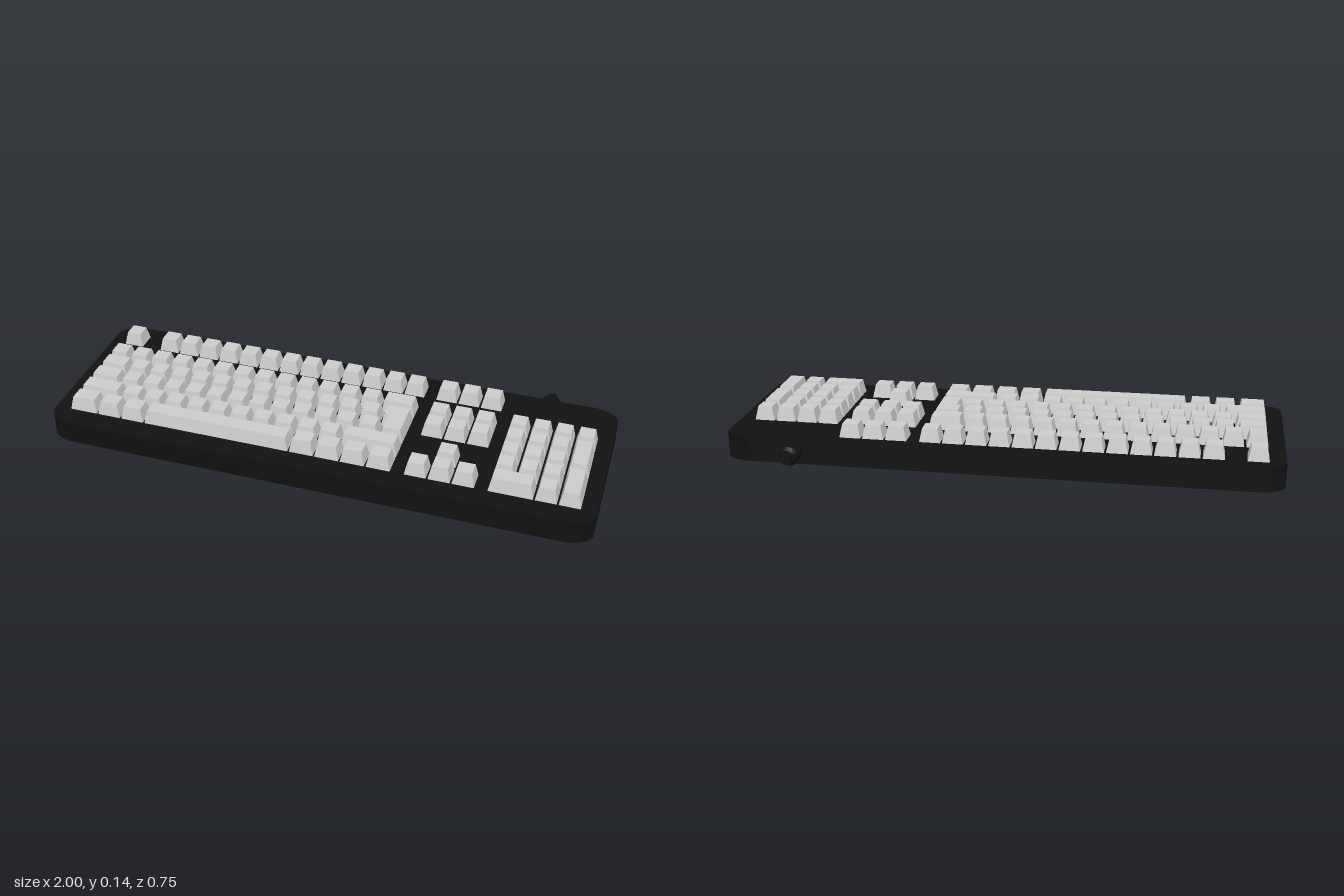
import * as THREE from 'three';
import { toCreasedNormals } from 'three/addons/utils/BufferGeometryUtils.js';

const DECK = 0.09, KEY_TOP = 0.14;
const U = 0.082;            // one key unit across
const ROW = 0.0816;         // row pitch
const LEFT = -0.944, BACK = -0.108;
const GAP = 0.006;

export function createModel() {
  const model = new THREE.Group();
  model.name = 'keyboard';
  const black = new THREE.MeshStandardMaterial({ color: 0x111111 });
  const grey = new THREE.MeshStandardMaterial({ color: 0xcccccc });

  const group = (name) => {
    const g = new THREE.Group();
    g.name = name;
    model.add(g);
    return g;
  };

  // Tapered key cap filling the cell x0..x1, z0..z1
  function addKey(parent, name, x0, x1, z0, z1) {
    const w = x1 - x0 - GAP, d = z1 - z0 - GAP, base = DECK - 0.003;
    const geo = new THREE.BoxGeometry(w, KEY_TOP - base, d);
    const p = geo.attributes.position;
    for (let i = 0; i < p.count; i++) {
      if (p.getY(i) > 0) {
        p.setX(i, p.getX(i) * (1 - 0.022 / w));
        p.setZ(i, p.getZ(i) * (1 - 0.02 / d));
      }
    }
    geo.computeVertexNormals();
    const key = new THREE.Mesh(geo, grey);
    key.name = name;
    key.position.set((x0 + x1) / 2, (KEY_TOP + base) / 2, (z0 + z1) / 2);
    parent.add(key);
  }

  // Row of keys from a list of widths in key units
  function addRow(parent, name, x, z, widths, unit = U) {
    for (const w of widths) {
      addKey(parent, name, x, x + w * unit, z, z + ROW);
      x += w * unit;
    }
  }
  const repeat = (n, w = 1) => Array(n).fill(w);
  const rowZ = (r) => BACK + r * ROW;

  // Case: slab with elliptical corners, its front edge slightly lower
  const x = 1, z0 = -0.295, z1 = 0.375, rx = 0.1, rz = 0.065;
  const outline = new THREE.Shape();
  const h = Math.PI / 2;
  outline.moveTo(x - rx, -z1);
  outline.absellipse(x - rx, -z1 + rz, rx, rz, -h, 0);
  outline.absellipse(x - rx, -z0 - rz, rx, rz, 0, h);
  outline.absellipse(-x + rx, -z0 - rz, rx, rz, h, 2 * h);
  outline.absellipse(-x + rx, -z1 + rz, rx, rz, 2 * h, 3 * h);
  outline.closePath();
  const slab = new THREE.ExtrudeGeometry(outline, { depth: DECK, bevelEnabled: false, curveSegments: 10 });
  slab.rotateX(-Math.PI / 2);
  const sp = slab.attributes.position;
  for (let i = 0; i < sp.count; i++) {
    const drop = Math.max(0, sp.getZ(i) - 0.32) / 0.055 * 0.003;
    if (sp.getY(i) > 0.01) sp.setY(i, DECK - drop);
  }
  const body = new THREE.Mesh(toCreasedNormals(slab, 0.6), black);
  body.name = 'case';
  model.add(body);

  // Cable strain relief at the back
  const profile = [[0.036, 0], [0.036, 0.06], [0.026, 0.075], [0.026, 0.08], [0.021, 0.08], [0.021, 0.095], [0, 0.095]];
  const relief = new THREE.LatheGeometry(profile.map(([r, y]) => new THREE.Vector2(r, y)), 20);
  relief.rotateX(-Math.PI / 2);
  const plug = new THREE.Mesh(toCreasedNormals(relief, 0.4), black);
  plug.name = 'cableStrainRelief';
  plug.position.set(0.74, 0.045, -0.28);
  model.add(plug);

  // Separate row along the back
  const backRow = group('backRow');
  const backRowZ = -0.245;
  addRow(backRow, 'escapeKey', LEFT, backRowZ, [1]);
  addRow(backRow, 'backRowKey', -0.793, backRowZ, repeat(13), 0.0833);

  // Main block, 15 units wide
  const main = group('mainKeys');
  addRow(main, 'numberRowKey', LEFT, rowZ(0), [...repeat(13, 1.03), 1.61]);
  addRow(main, 'upperLetterKey', LEFT, rowZ(1), [1.42, ...repeat(12, 1.02)]);
  addRow(main, 'homeRowKey', LEFT, rowZ(2), [1.5, ...repeat(12, 1.03)]);
  addRow(main, 'lowerLetterKey', LEFT, rowZ(3), [2, ...repeat(10, 1.04), 2.6]);
  addRow(main, 'bottomRowKey', LEFT, rowZ(4), [1.35, 1.13, 1.13, 6.8, 1.15, 1.15, 1.15, 1.14]);

  // L-shaped enter key
  const right = LEFT + 15 * U;
  addKey(main, 'enterKeyTop', LEFT + 13.66 * U, right, rowZ(1), rowZ(2));
  addKey(main, 'enterKeyStem', LEFT + 13.86 * U, right, rowZ(1), rowZ(3));

  // Navigation and arrow keys
  const nav = group('navigationKeys');
  const navX = 0.33, navU = 0.0845;
  for (const z of [backRowZ, rowZ(0) + 0.01, rowZ(1) + 0.01]) {
    addRow(nav, 'navigationKey', navX, z, repeat(3), navU);
  }
  addRow(nav, 'arrowKey', navX + navU, rowZ(3) - 0.006, [1], navU);
  addRow(nav, 'arrowKey', navX, rowZ(4), repeat(3), navU);

  // Number pad with tall keys in the last column
  const pad = group('numberPad');
  const padX = 0.624, padU = 0.081;
  addRow(pad, 'padKey', padX, rowZ(0), repeat(4), padU);
  for (const r of [1, 2, 3]) addRow(pad, 'padKey', padX, rowZ(r), repeat(3), padU);
  addRow(pad, 'padKey', padX, rowZ(4), [2, 1], padU);
  for (const r of [1, 3]) {
    addKey(pad, 'tallPadKey', padX + 3 * padU, padX + 4 * padU, rowZ(r), rowZ(r + 2));
  }

  return model;
}
